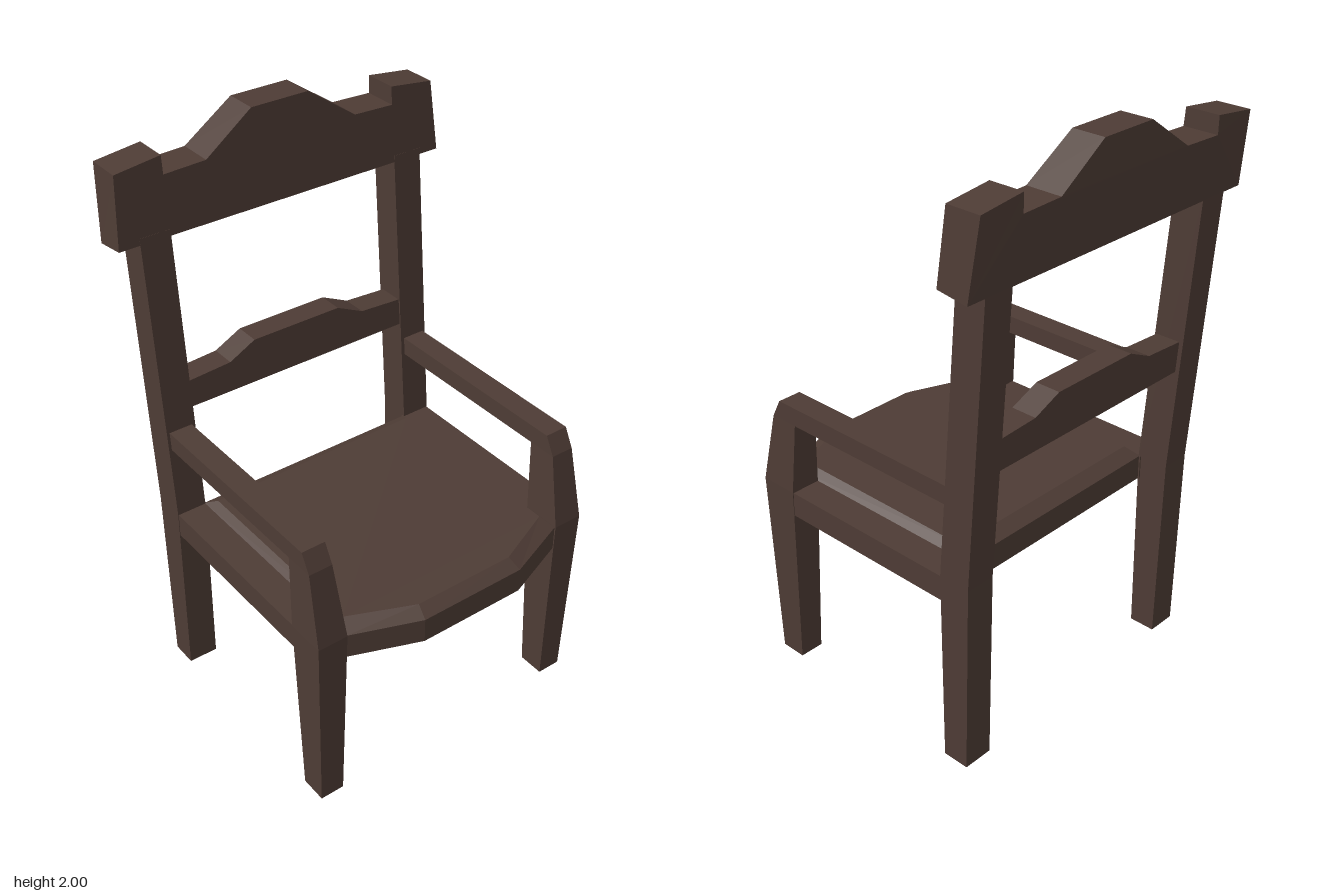
import * as THREE from 'three';

const wood = new THREE.MeshStandardMaterial({ color: 0x4e3c35, flatShading: true });
wood.name = 'darkWood';

// Solid skin over rings of [x, y, z] points, ordered bottom to top, counter-clockwise from above
function loft(name, rings) {
  const pos = [];
  const n = rings[0].length;
  const tri = (a, b, c) => pos.push(...a, ...b, ...c);
  for (let r = 0; r < rings.length - 1; r++) {
    for (let i = 0; i < n; i++) {
      const j = (i + 1) % n;
      tri(rings[r][i], rings[r][j], rings[r + 1][j]);
      tri(rings[r][i], rings[r + 1][j], rings[r + 1][i]);
    }
  }
  const low = rings[0], top = rings[rings.length - 1];
  for (let i = 1; i < n - 1; i++) {
    tri(low[0], low[i + 1], low[i]);
    tri(top[0], top[i], top[i + 1]);
  }
  const geo = new THREE.BufferGeometry();
  geo.setAttribute('position', new THREE.Float32BufferAttribute(pos, 3));
  geo.computeVertexNormals();
  const mesh = new THREE.Mesh(geo, wood);
  mesh.name = name;
  return mesh;
}

// Four-sided bar on one side of the chair; sections are [y, inner x, outer x, back z, front z]
function bar(name, side, sections) {
  return loft(name, sections.map(([y, xi, xo, zb, zf]) => {
    const x0 = Math.min(side * xi, side * xo), x1 = Math.max(side * xi, side * xo);
    return [[x0, y, zf], [x1, y, zf], [x1, y, zb], [x0, y, zb]];
  }));
}

// Symmetric rail from half an outline, leaning back with height
function rail(name, half, frontZ, backZ) {
  const left = half.map(([x, y]) => [-x, y]).reverse();
  const shape = new THREE.Shape([...half, ...left].map(([x, y]) => new THREE.Vector2(x, y)));
  const geo = new THREE.ExtrudeGeometry(shape, { depth: 1, bevelEnabled: false });
  const p = geo.attributes.position;
  const base = half[0][1];
  for (let i = 0; i < p.count; i++) {
    const y = p.getY(i), front = p.getZ(i) > 0.5;
    p.setZ(i, front ? frontZ(y) : backZ(y));
    if (!front && y < base + 0.005) p.setY(i, y - 0.015); // underside square to the lean
  }
  geo.computeVertexNormals();
  const mesh = new THREE.Mesh(geo, wood);
  mesh.name = name;
  return mesh;
}

export function createModel() {
  const chair = new THREE.Group();
  chair.name = 'armchair';

  for (const side of [1, -1]) {
    const label = side > 0 ? 'left' : 'right';
    // Tapered front leg rising into the arm support
    chair.add(bar(label + 'FrontLeg', side, [
      [0, 0.44, 0.527, 0.36, 0.455],
      [0.69, 0.43, 0.538, 0.335, 0.475],
      [0.945, 0.443, 0.527, 0.315, 0.42],
      [1.01, 0.443, 0.527, 0.315, 0.385],
    ]));
    // Back leg and leaning back post
    chair.add(bar(label + 'BackPost', side, [
      [0, 0.43, 0.537, -0.445, -0.35],
      [0.69, 0.43, 0.537, -0.455, -0.34],
      [1.7, 0.43, 0.537, -0.525, -0.417],
    ]));
    chair.add(bar(label + 'Armrest', side, [
      [0.945, 0.443, 0.527, -0.39, 0.316],
      [1.01, 0.443, 0.527, -0.39, 0.316],
    ]));
    chair.add(bar(label + 'SeatRail', side, [
      [0.6, 0.425, 0.535, -0.35, 0.345],
      [0.688, 0.425, 0.535, -0.35, 0.345],
    ]));
  }

  // Seat with a bowed front and bevelled top edge
  const outer = [[-0.43, 0.47], [-0.195, 0.56], [0.195, 0.56], [0.43, 0.47], [0.43, -0.345], [-0.43, -0.345]];
  const inner = [[-0.405, 0.42], [-0.185, 0.515], [0.185, 0.515], [0.405, 0.42], [0.405, -0.295], [-0.405, -0.295]];
  const ring = (pts, y) => pts.map(([x, z]) => [x, y, z]);
  chair.add(loft('seat', [ring(outer, 0.6), ring(outer, 0.688), ring(inner, 0.716)]));

  // Shaped back rails
  chair.add(rail('middleRail',
    [[0.44, 1.07], [0.44, 1.165], [0.27, 1.175], [0.17, 1.222]],
    (y) => -0.374 - 0.09 * (y - 1.07),
    (y) => -0.465 - 0.08 * (y - 1.07)));
  chair.add(rail('topRail',
    [[0.61, 1.678], [0.592, 1.917], [0.43, 1.936], [0.43, 1.875], [0.28, 1.88], [0.105, 2]],
    (y) => -0.416 - 0.08 * (y - 1.678),
    (y) => -0.527 - 0.03 * Math.min(1, (y - 1.678) / 0.2)));

  return chair;
}
